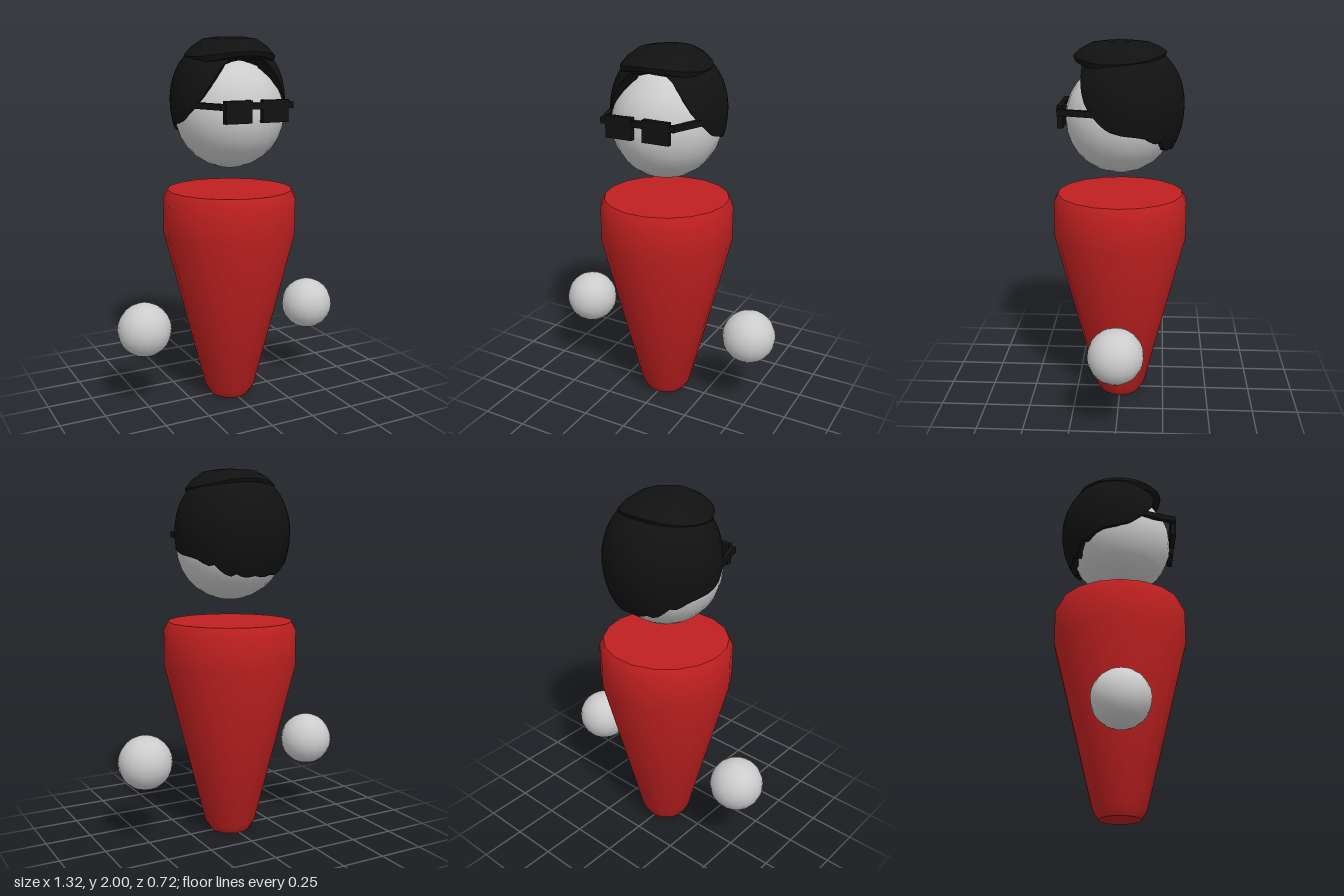
import * as THREE from 'three';
import { toCreasedNormals } from 'three/addons/utils/BufferGeometryUtils.js';

const mat = (color, side = THREE.FrontSide) => new THREE.MeshStandardMaterial({ color, side });

// Linear interpolation through [x, y] keys
function keyed(keys, x) {
  for (let i = 1; i < keys.length; i++) {
    const [x0, y0] = keys[i - 1], [x1, y1] = keys[i];
    if (x <= x1) return y0 + (y1 - y0) * (x - x0) / (x1 - x0);
  }
  return keys[keys.length - 1][1];
}

// Closed-around surface: point(row, angle) -> [x, y, z], rows running from top to bottom
function ringSurface(rows, segments, point) {
  const pos = [], index = [];
  for (let r = 0; r < rows; r++)
    for (let s = 0; s < segments; s++) pos.push(...point(r, s / segments * Math.PI * 2));
  for (let r = 0; r < rows - 1; r++)
    for (let s = 0; s < segments; s++) {
      const a = r * segments + s, b = r * segments + (s + 1) % segments;
      const c = a + segments, d = b + segments;
      index.push(a, c, b, b, c, d);
    }
  const g = new THREE.BufferGeometry();
  g.setAttribute('position', new THREE.Float32BufferAttribute(pos, 3));
  g.setIndex(index);
  return toCreasedNormals(g, 0.7);
}

// Height of the hairline by angle from the front, in degrees
const hairline = [[0, 1.89], [24, 1.88], [32, 1.85], [40, 1.78], [48, 1.71], [56, 1.66], [64, 1.62],
  [75, 1.575], [90, 1.555], [105, 1.545], [116, 1.53], [124, 1.5], [132, 1.51], [140, 1.47],
  [148, 1.445], [156, 1.46], [166, 1.44], [180, 1.45]];

// Hair shell that follows the skull, its last ring tucked into the head
function hairShell() {
  const rows = 14, cy = 1.67;
  return ringSurface(rows + 1, 60, (r, t) => {
    const deg = Math.abs(t > Math.PI ? t - Math.PI * 2 : t) * 180 / Math.PI;
    const edge = keyed(hairline, deg) - cy;
    const end = Math.acos(edge / (edge > 0 ? 0.32 : 0.36));
    const phi = end * Math.min(r, rows - 1) / (rows - 1);
    const tuck = r === rows ? 0.7 : 1;
    const c = Math.cos(phi), ring = Math.pow(Math.max(Math.sin(phi), 0), 0.8) * tuck;
    const rz = Math.cos(t) > 0 ? 0.29 : 0.32;
    return [0.312 * ring * Math.sin(t), cy + c * (c > 0 ? 0.32 : 0.36), rz * ring * Math.cos(t) - 0.02];
  });
}

// Flat top tuft, with a lip that overhangs the forehead
function topTuft() {
  const profile = [[0, 0], [0.3, 0], [0.6, 0.12], [0.85, 0.55], [1, 1], [0.97, 1.3], [0.6, 1.6], [0, 1.6]];
  return ringSurface(profile.length, 28, (r, t) => {
    const [radius, drop] = profile[r];
    const front = Math.cos(t), side = Math.sin(t);
    const fall = 0.055 + 0.045 * side * side + (front > 0 ? 0.02 * front : 0);
    return [0.24 * radius * side, 2 - fall * drop, 0.245 * radius * front];
  });
}

export function createModel() {
  const model = new THREE.Group();
  const skin = mat(0xcccccc), red = mat(0xc02020);
  const black = mat(0x111111), hairMat = mat(0x111111, THREE.DoubleSide);

  const add = (name, geometry, material, x = 0, y = 0, z = 0, parent = model) => {
    const mesh = new THREE.Mesh(geometry, material);
    mesh.name = name;
    mesh.position.set(x, y, z);
    parent.add(mesh);
    return mesh;
  };

  // Tapered body with small bevels at both ends
  const profile = [[0, 0], [0.11, 0], [0.142, 0.05], [0.365, 0.95], [0.365, 1.145], [0.342, 1.19], [0, 1.19]]
    .map(([x, y]) => new THREE.Vector2(x, y));
  const body = new THREE.LatheGeometry(profile, 18, Math.PI / 18);
  add('body', toCreasedNormals(body, 0.65), red);

  // Head and floating hands
  add('head', new THREE.SphereGeometry(0.293, 20, 14), skin, 0, 1.6, 0);
  for (const [side, s] of [['left', 1], ['right', -1]])
    add(side + 'Hand', new THREE.SphereGeometry(0.147, 18, 12), skin, 0.515 * s, 0.455, 0);

  // Hair
  const hair = new THREE.Group();
  hair.name = 'hair';
  model.add(hair);
  add('hairShell', hairShell(), hairMat, 0, 0, 0, hair);
  add('topTuft', topTuft(), hairMat, 0, 0, 0, hair);

  // Glasses: brow bar, square lenses and arms angled back to the ears
  const glasses = new THREE.Group();
  glasses.name = 'glasses';
  model.add(glasses);
  add('browBar', new THREE.BoxGeometry(0.42, 0.032, 0.028), black, 0, 1.656, 0.3, glasses);
  for (const [side, s] of [['left', 1], ['right', -1]]) {
    add(side + 'Lens', new THREE.BoxGeometry(0.15, 0.115, 0.03), black, 0.105 * s, 1.628, 0.301, glasses);
    const arm = add(side + 'Arm', new THREE.BoxGeometry(0.026, 0.032, 0.22), black, 0.232 * s, 1.656, 0.2, glasses);
    arm.rotation.y = -0.34 * s;
  }
  return model;
}
